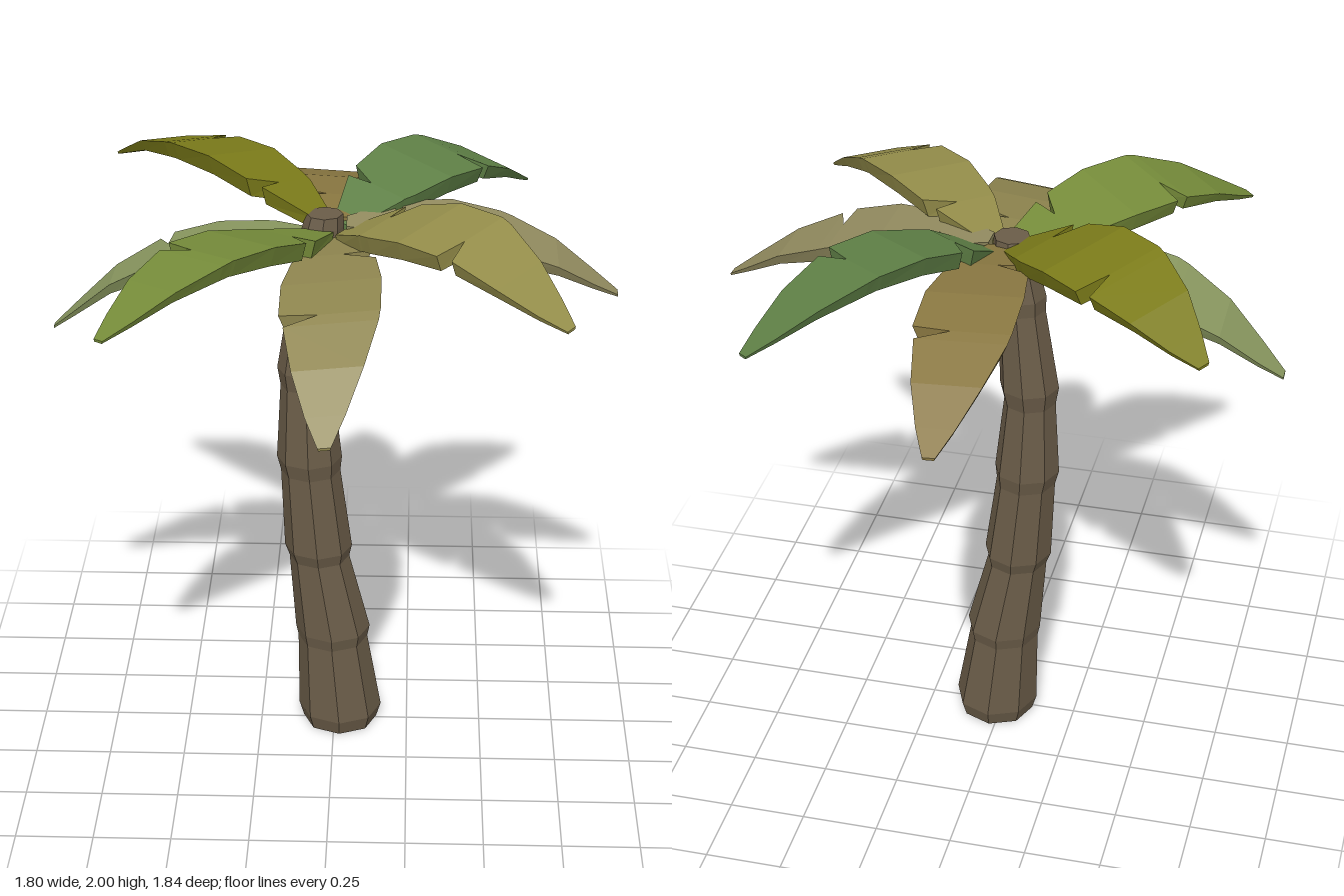
import * as THREE from 'three';

// Closed, faceted skin through a list of equal-sized rings of [x, y, z] points
function loft(rings, color, name) {
  const pos = [];
  const tri = (a, b, c) => pos.push(...a, ...b, ...c);
  const n = rings[0].length;
  for (let i = 0; i < rings.length - 1; i++) {
    for (let j = 0; j < n; j++) {
      const k = (j + 1) % n;
      const [a, b, c, d] = [rings[i][j], rings[i][k], rings[i + 1][k], rings[i + 1][j]];
      tri(a, d, c);
      tri(a, c, b);
    }
  }
  const first = rings[0], last = rings[rings.length - 1];
  for (let j = 1; j < n - 1; j++) {
    tri(first[0], first[j], first[j + 1]);
    tri(last[0], last[j + 1], last[j]);
  }
  const geometry = new THREE.BufferGeometry();
  geometry.setAttribute('position', new THREE.Float32BufferAttribute(pos, 3));
  geometry.computeVertexNormals();
  const mesh = new THREE.Mesh(geometry, new THREE.MeshStandardMaterial({ color, flatShading: true }));
  mesh.name = name;
  return mesh;
}

// Linear interpolation in a short table
function sample(xs, ys, x) {
  let i = 0;
  while (i < xs.length - 2 && x > xs[i + 1]) i++;
  return THREE.MathUtils.mapLinear(x, xs[i], xs[i + 1], ys[i], ys[i + 1]);
}

// Trunk stations: [height, centre x, radius]; each pair is a growth collar
const TRUNK = [
  [0, 0.02, 0.125], [0.05, 0.02, 0.14],
  [0.32, -0.005, 0.117], [0.36, -0.005, 0.125],
  [0.63, -0.05, 0.1], [0.67, -0.053, 0.112],
  [0.95, -0.078, 0.098], [1.0, -0.082, 0.107],
  [1.26, -0.09, 0.085], [1.32, -0.088, 0.097],
  [1.6, -0.062, 0.077], [1.65, -0.058, 0.083],
  [1.81, -0.035, 0.066], [1.85, -0.03, 0.058],
];

function trunk() {
  const rings = TRUNK.map(([y, cx, r]) => Array.from({ length: 8 }, (_, j) => {
    const a = (j * Math.PI) / 4;
    return [cx + r * Math.cos(a), y, -0.012 + r * Math.sin(a)];
  }));
  return loft(rings, 0x6a5c48, 'trunk');
}

// Frond outline: [distance, half width on +z, half width on -z], with one
// tear near the root on -z and a deeper one halfway along on +z
const OUTLINE = [
  [0.04, 0.04, 0.04], [0.19, 0.11, 0.12], [0.2, 0.113, 0.03], [0.24, 0.125, 0.135],
  [0.38, 0.15, 0.155], [0.53, 0.15, 0.155], [0.54, 0.03, 0.154], [0.575, 0.135, 0.15],
  [0.72, 0.105, 0.11], [0.84, 0.06, 0.06], [0.92, 0.02, 0.02],
];
const BENDS = [0.04, 0.2, 0.38, 0.55, 0.72, 0.92];
const THICKNESS = [0.04, 0.06, 0.065, 0.055, 0.035, 0.008];

// A slab that arches along its length, rolls slightly and narrows underneath
function frond({ name, angle, length, roll, color, heights }) {
  const rings = OUTLINE.map(([d, right, left]) => {
    const x = (d * length) / 0.92;
    const y = sample(BENDS, heights, d);
    const t = sample(BENDS, THICKNESS, d);
    const point = (z, drop) => [x, y - drop - roll * z, z];
    return [point(right, 0), point(-left, 0), point(-left * 0.85, t), point(right * 0.85, t)];
  });
  const mesh = loft(rings, color, name);
  mesh.rotation.y = -THREE.MathUtils.degToRad(angle);
  return mesh;
}

const FRONDS = [
  { name: 'leftFrond', angle: 0, length: 0.9, roll: 0.06, color: 0x938c60,
    heights: [1.83, 1.845, 1.84, 1.8, 1.73, 1.6] },
  { name: 'frontLeftFrond', angle: 39.5, length: 0.93, roll: 0.13, color: 0x948d4a,
    heights: [1.81, 1.88, 1.92, 1.915, 1.84, 1.725] },
  { name: 'frontFrond', angle: 90, length: 0.92, roll: 0.1, color: 0x8d844e,
    heights: [1.79, 1.795, 1.78, 1.74, 1.645, 1.485] },
  { name: 'frontRightFrond', angle: 133.5, length: 0.97, roll: 0.1, color: 0x768c3a,
    heights: [1.81, 1.84, 1.88, 1.885, 1.83, 1.72] },
  { name: 'rightFrond', angle: 180, length: 0.9, roll: 0.08, color: 0x8a9860,
    heights: [1.79, 1.795, 1.78, 1.735, 1.64, 1.465] },
  { name: 'backRightFrond', angle: 220, length: 0.96, roll: 0.18, color: 0x7c7c1a,
    heights: [1.83, 1.91, 1.965, 1.97, 1.93, 1.835] },
  { name: 'backFrond', angle: 270, length: 0.92, roll: 0.06, color: 0x887640,
    heights: [1.83, 1.845, 1.84, 1.8, 1.725, 1.6] },
  { name: 'backLeftFrond', angle: -48.5, length: 0.94, roll: 0.13, color: 0x5f8046,
    heights: [1.81, 1.89, 1.93, 1.92, 1.85, 1.73] },
];

export function createModel() {
  const model = new THREE.Group();
  model.name = 'palmTree';
  model.add(trunk());
  const crown = new THREE.Group();
  crown.name = 'crown';
  FRONDS.forEach((f) => crown.add(frond(f)));
  model.add(crown);
  return model;
}
